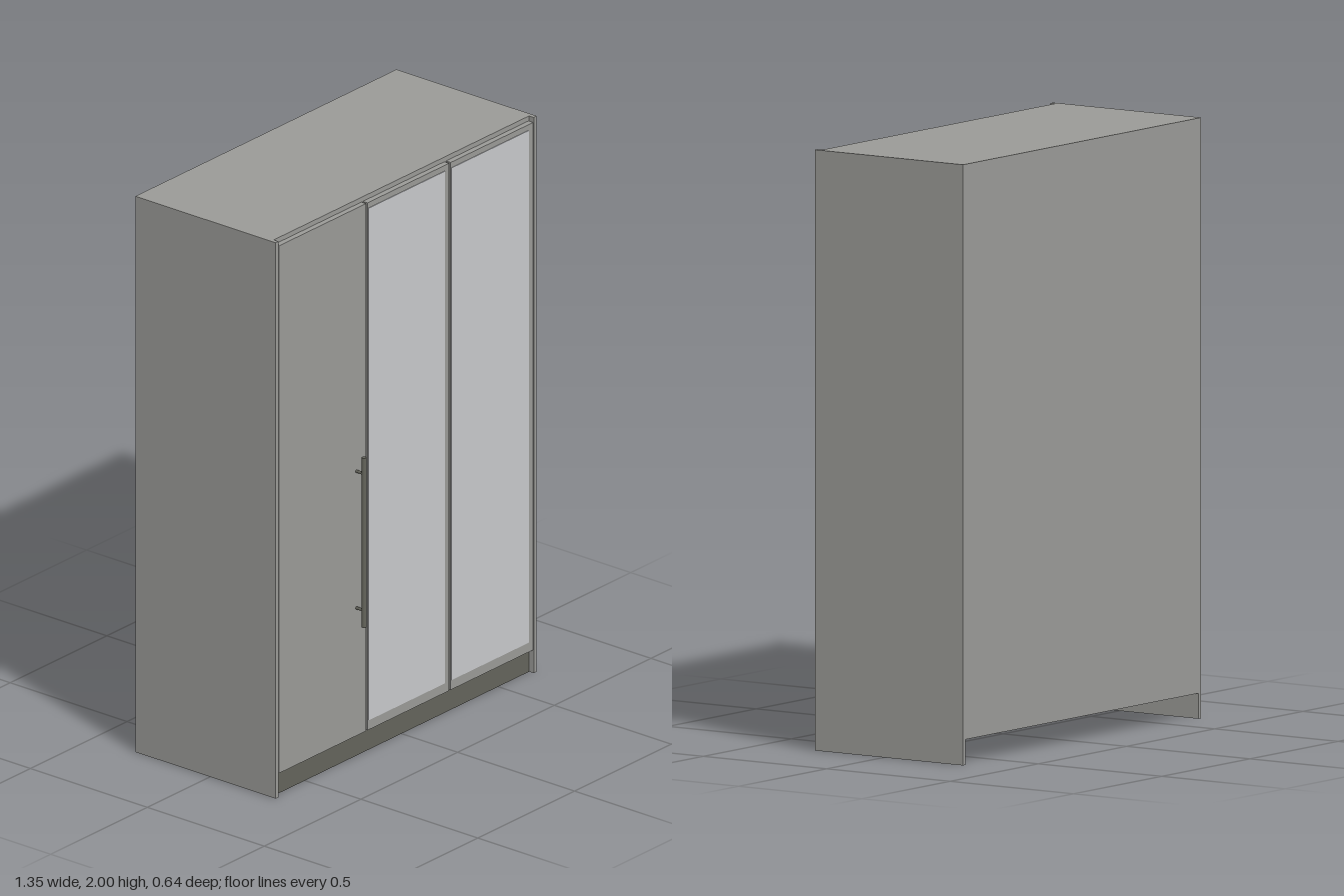
import * as THREE from 'three';

export function createModel() {
  const model = new THREE.Group();
  model.name = 'wardrobe';

  const mat = (name, color) => {
    const m = new THREE.MeshStandardMaterial({ color });
    m.name = name;
    return m;
  };
  const grey = mat('grey panel', 0x9a9a97);
  const mirror = mat('mirror', 0xc7c8cb);
  const dark = mat('dark plinth', 0x64645b);

  // box given by its min and max corners
  const box = (name, material, [x0, y0, z0], [x1, y1, z1], parent = model) => {
    const mesh = new THREE.Mesh(new THREE.BoxGeometry(x1 - x0, y1 - y0, z1 - z0), material);
    mesh.position.set((x0 + x1) / 2, (y0 + y1) / 2, (z0 + z1) / 2);
    mesh.name = name;
    parent.add(mesh);
  };

  const W = 0.675, inner = 0.66, back = -0.32, front = 0.28, doorBack = 0.26, base = 0.085;

  // carcass: side panels reach the floor, body stops above the plinth
  box('rightSide', grey, [-W, 0, back], [-inner, 2, front]);
  box('leftSide', grey, [inner, 0, back], [W, 2, front]);
  box('body', grey, [-inner, base, back], [inner, 2, doorBack]);
  box('plinth', dark, [-inner, 0, 0.245], [inner, base, doorBack]);

  // three doors, two of them with mirror plates
  const doors = [
    { name: 'plainDoor', x: [-0.657, -0.207] },
    { name: 'middleDoor', x: [-0.2, 0.222], glass: [-0.196, 0.198] },
    { name: 'leftDoor', x: [0.23, 0.657], glass: [0.233, 0.633] },
  ];
  for (const { name, x, glass } of doors) {
    const door = new THREE.Group();
    door.name = name;
    box('doorPanel', grey, [x[0], base, doorBack], [x[1], 1.983, front], door);
    if (glass) box('mirrorPlate', mirror, [glass[0], 0.12, front], [glass[1], 1.963, front + 0.002], door);
    model.add(door);
  }

  // bar handle on two posts
  const handle = new THREE.Group();
  handle.name = 'handle';
  const bar = new THREE.Mesh(new THREE.CylinderGeometry(0.008, 0.008, 0.61, 20), dark);
  bar.name = 'handleBar';
  bar.position.set(-0.257, 0.79, 0.312);
  handle.add(bar);
  for (const y of [0.545, 1.037]) {
    const post = new THREE.Mesh(new THREE.CylinderGeometry(0.005, 0.005, 0.032, 16), dark);
    post.name = 'handlePost';
    post.rotation.x = Math.PI / 2;
    post.position.set(-0.257, y, 0.296);
    handle.add(post);
  }
  model.add(handle);

  return model;
}
